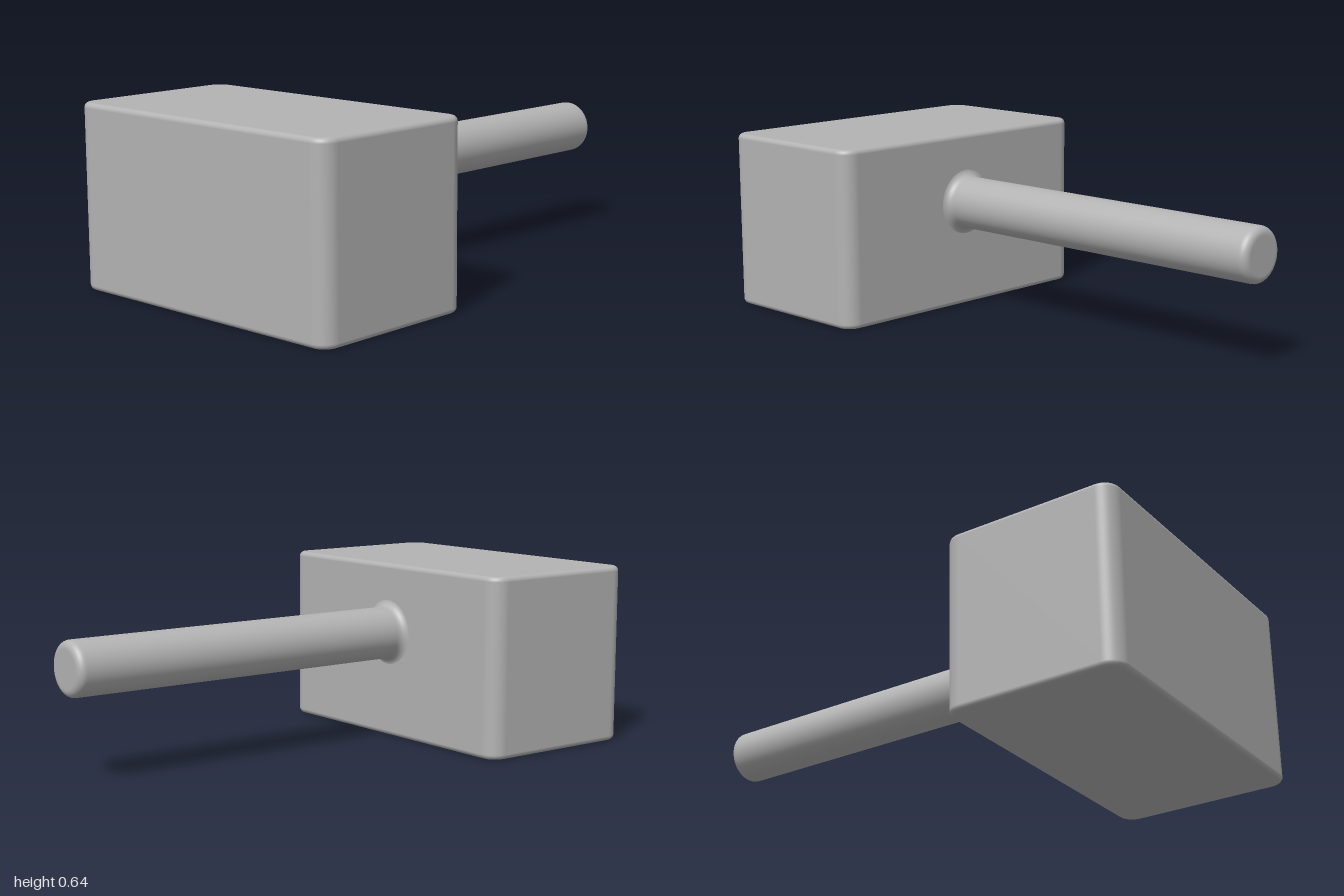
import * as THREE from 'three';

const clamp = THREE.MathUtils.clamp;

// Block with corner radius R on its vertical edges and a small fillet r on top and bottom edges.
function roundedBlock(w, h, d, R, r) {
  const hx = w / 2, hz = d / 2, ix = hx - R, iz = hz - R;
  const s = new THREE.Shape();
  s.absarc(ix, iz, R, 0, Math.PI / 2);
  s.absarc(-ix, iz, R, Math.PI / 2, Math.PI);
  s.absarc(-ix, -iz, R, Math.PI, Math.PI * 1.5);
  s.absarc(ix, -iz, R, Math.PI * 1.5, Math.PI * 2);
  const g = new THREE.ExtrudeGeometry(s, {
    depth: h - 2 * r, curveSegments: 12, bevelEnabled: true,
    bevelThickness: r, bevelSize: r, bevelOffset: -r, bevelSegments: 6,
  });
  g.translate(0, 0, r).rotateX(-Math.PI / 2);

  // Smooth normals that stay exact on the flat faces
  const p = g.attributes.position, n = g.attributes.normal, v = new THREE.Vector3();
  for (let i = 0; i < p.count; i++) {
    const x = p.getX(i), y = p.getY(i), z = p.getZ(i);
    v.set(x - clamp(x, -ix, ix), 0, z - clamp(z, -iz, iz));
    const out = Math.max(v.length() - (R - r), 0);
    v.setLength(out);
    v.y = y - clamp(y, r, h - r);
    v.normalize();
    n.setXYZ(i, v.x, v.y, v.z);
  }
  return g;
}

// Round handle: flared foot, straight shaft, rounded end; runs from y0 to y1.
function handleGeometry(radius, y0, y1, flare, round) {
  const pts = [];
  const steps = 8;
  for (let i = 0; i <= steps; i++) {
    const a = (i / steps) * Math.PI / 2;
    pts.push(new THREE.Vector2(radius + flare * (1 - Math.sin(a)), y0 + flare * (1 - Math.cos(a))));
  }
  pts.push(new THREE.Vector2(radius, y0 + flare + 0.005), new THREE.Vector2(radius, y1 - round - 0.005));
  for (let i = 0; i <= steps; i++) {
    const a = (i / steps) * Math.PI / 2;
    pts.push(new THREE.Vector2(radius - round + round * Math.cos(a), y1 - round + round * Math.sin(a)));
  }
  pts.push(new THREE.Vector2(radius - round - 0.003, y1), new THREE.Vector2(0, y1));
  return new THREE.LatheGeometry(pts, 48).rotateX(-Math.PI / 2);
}

export function createModel() {
  const grey = new THREE.MeshStandardMaterial({ color: 0xb3b3b3 });
  grey.name = 'grey';
  const model = new THREE.Group();
  model.name = 'mallet';

  const head = new THREE.Mesh(roundedBlock(1.16, 0.645, 0.643, 0.06, 0.018), grey);
  head.name = 'head';
  head.position.z = 0.6785;

  const handle = new THREE.Mesh(handleGeometry(0.096, -0.358, 1, 0.031, 0.027), grey);
  handle.name = 'handle';
  handle.position.set(-0.003, 0.39, 0);

  model.add(head, handle);
  return model;
}
